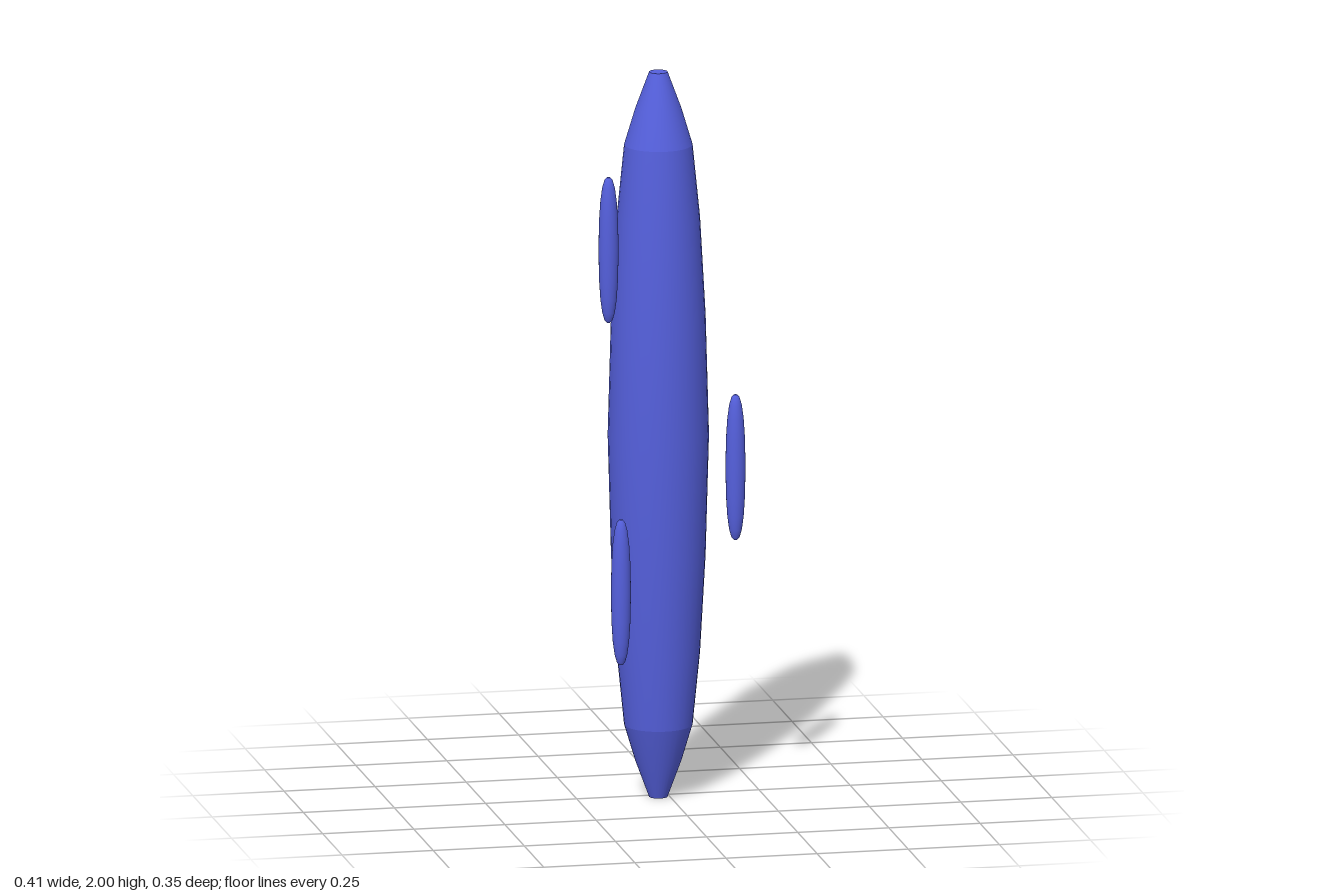
import * as THREE from 'three';

const material = new THREE.MeshStandardMaterial({ color: 0x5560dd });

function add(group, name, geometry, y = 0) {
  const mesh = new THREE.Mesh(geometry, material);
  mesh.name = name;
  mesh.position.y = y;
  group.add(mesh);
  return mesh;
}

// Surface of revolution from [radius, y] points listed bottom to top
function revolve(points, segments) {
  return new THREE.LatheGeometry(points.map(([r, y]) => new THREE.Vector2(r, y)), segments);
}

function endCaps(group, name, radius, bottom, top, segments) {
  const cap = new THREE.CircleGeometry(radius, segments);
  add(group, name + 'TopCap', cap, top).rotation.x = -Math.PI / 2;
  add(group, name + 'BottomCap', cap, bottom).rotation.x = Math.PI / 2;
}

export function createModel() {
  const model = new THREE.Group();
  model.name = 'spindleWithPods';

  // Main hull: tapered ends with a crease, long gently swelling middle
  const hull = new THREE.Group();
  hull.name = 'hull';
  hull.position.set(-0.03, 0, 0.018);
  const end = [[0.025, 0], [0.062, 0.1], [0.092, 0.2]];
  const swell = [[0.092, 0.2], [0.112, 0.4], [0.127, 0.67], [0.136, 1]];
  const flip = (points) => points.map(([r, y]) => [r, 2 - y]).reverse();
  add(hull, 'tailCone', revolve(end, 32));
  add(hull, 'hullMiddle', revolve([...swell, ...flip(swell).slice(1)], 32));
  add(hull, 'noseCone', revolve(flip(end), 32));
  endCaps(hull, 'hull', 0.025, 0, 2, 32);
  model.add(hull);

  // Small slender pods floating around the hull
  const half = [[0.005, -0.2], [0.011, -0.193], [0.017, -0.172], [0.022, -0.135], [0.0255, -0.08]];
  const podProfile = [...half, [0.027, 0], ...half.map(([r, y]) => [r, -y]).reverse()];
  const podGeometry = revolve(podProfile, 24);
  const pods = {
    upperRightPod: [-0.18, 1.53, 0.081],
    lowerRightPod: [-0.16, 0.6, 0.147],
    leftPod: [0.18, 0.9, 0.026],
    backPod: [-0.03, 1.145, -0.148],
  };
  for (const [name, position] of Object.entries(pods)) {
    const pod = new THREE.Group();
    pod.name = name;
    pod.position.set(...position);
    add(pod, 'podShell', podGeometry);
    endCaps(pod, 'pod', 0.005, -0.2, 0.2, 24);
    model.add(pod);
  }
  return model;
}
